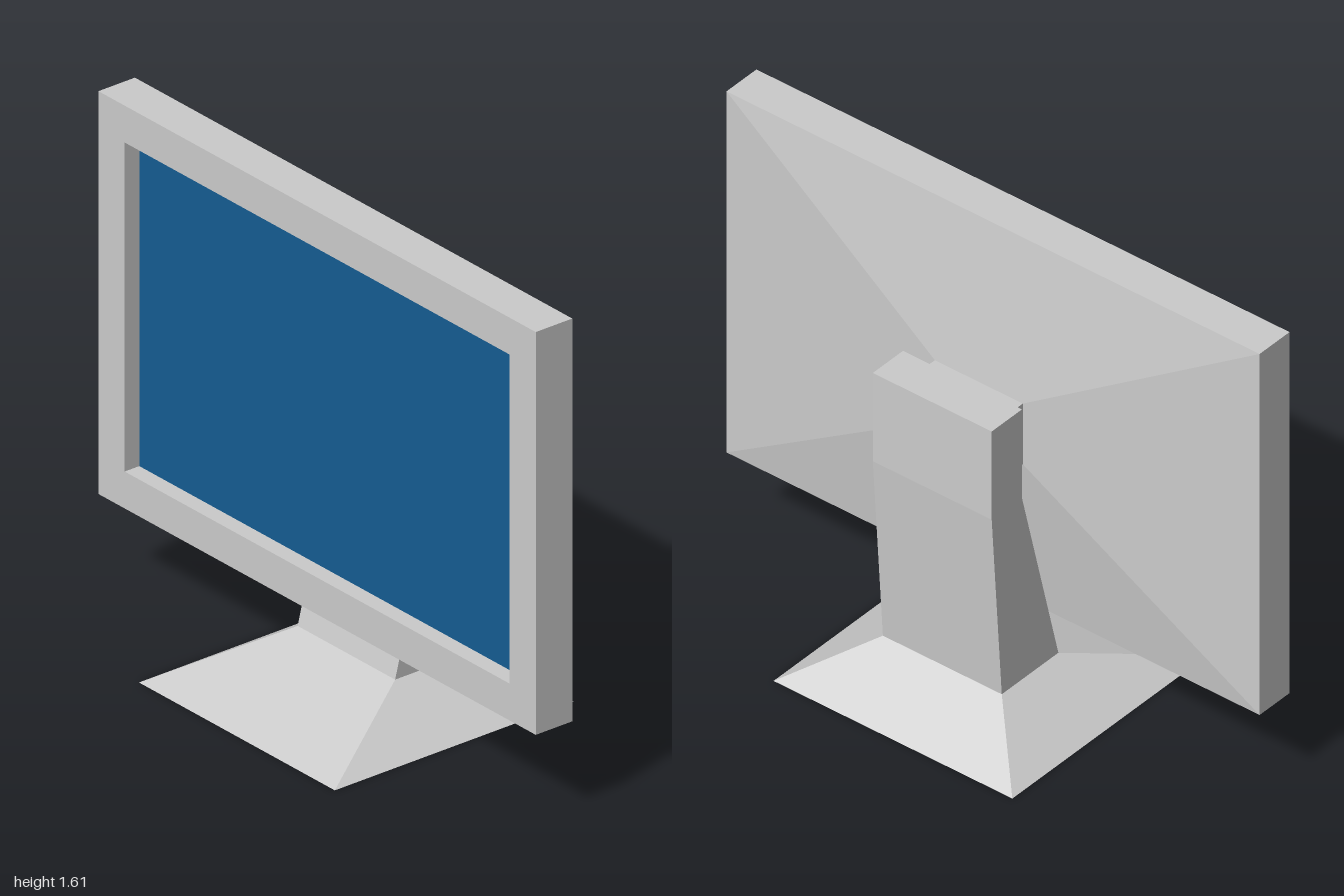
import * as THREE from 'three';

const grey = new THREE.MeshStandardMaterial({ color: 0xcccccc, flatShading: true });
const blue = new THREE.MeshStandardMaterial({ color: 0x145c92 });

function addPart(group, name, geometry, material = grey) {
  const mesh = new THREE.Mesh(geometry, material);
  mesh.name = name;
  group.add(mesh);
  return mesh;
}

// Box spanning two corners
function boxBetween([x0, y0, z0], [x1, y1, z1]) {
  return new THREE.BoxGeometry(x1 - x0, y1 - y0, z1 - z0)
    .translate((x0 + x1) / 2, (y0 + y1) / 2, (z0 + z1) / 2);
}

// Box whose far end along one axis is squeezed to the range lo..hi on another axis
function squeeze(geometry, axis, other, lo, hi) {
  const p = geometry.attributes.position;
  geometry.computeBoundingBox();
  const { min, max } = geometry.boundingBox.clone();
  const i = 'xyz'.indexOf(axis), j = 'xyz'.indexOf(other);
  for (let v = 0; v < p.count; v++) {
    if (p.getComponent(v, i) < max[axis] - 1e-4) continue;
    const t = (p.getComponent(v, j) - min[other]) / (max[other] - min[other]);
    p.setComponent(v, j, lo + t * (hi - lo));
  }
  geometry.computeVertexNormals();
  return geometry;
}

export function createModel() {
  const model = new THREE.Group();
  model.name = 'monitor';

  const bottom = 0.3, top = 1.61, bezel = 0.12;
  const frontX = -0.147, backX = -0.01, recess = 0.055;

  // Casing frame: rectangle with a window, extruded and turned to face -x
  const outline = new THREE.Shape([
    new THREE.Vector2(-1, bottom), new THREE.Vector2(1, bottom),
    new THREE.Vector2(1, top), new THREE.Vector2(-1, top),
  ]);
  const w = 1 - bezel;
  outline.holes.push(new THREE.Path([
    new THREE.Vector2(-w, bottom + bezel), new THREE.Vector2(-w, top - bezel),
    new THREE.Vector2(w, top - bezel), new THREE.Vector2(w, bottom + bezel),
  ]));
  const frame = new THREE.ExtrudeGeometry(outline, { depth: backX - frontX, bevelEnabled: false });
  addPart(model, 'screenFrame', frame.rotateY(Math.PI / 2).translate(frontX, 0, 0));

  // Recessed display panel
  const screen = new THREE.PlaneGeometry(2 * w, top - bottom - 2 * bezel)
    .rotateY(-Math.PI / 2).translate(frontX + recess, (top + bottom) / 2, 0);
  addPart(model, 'screen', screen, blue);

  // Tapered rear shell
  const shell = boxBetween([backX, bottom, -1], [0.055, top, 1]);
  squeeze(shell, 'x', 'y', 0.85, 1.07);
  squeeze(shell, 'x', 'z', -0.165, 0.165);
  addPart(model, 'rearShell', shell);

  // Mount joining the shell to the stand
  addPart(model, 'mount', boxBetween([0.055, 0.85, -0.165], [0.13, 1.07, 0.165]));

  // Bent stand column
  const profile = new THREE.Shape([
    [-0.037, 0.14], [0.222, 0.14], [0.268, 0.8], [0.268, 1.12], [0.13, 1.12], [0.13, 0.8],
  ].map(([x, y]) => new THREE.Vector2(x, y)));
  const column = new THREE.ExtrudeGeometry(profile, { depth: 0.446, bevelEnabled: false });
  addPart(model, 'standColumn', column.translate(0, 0, -0.223));

  // Sloped foot
  const foot = boxBetween([-0.448, 0, -0.448], [0.448, 0.14, 0.448]);
  squeeze(foot, 'y', 'x', -0.037, 0.222);
  squeeze(foot, 'y', 'z', -0.223, 0.223);
  addPart(model, 'foot', foot);

  return model;
}
